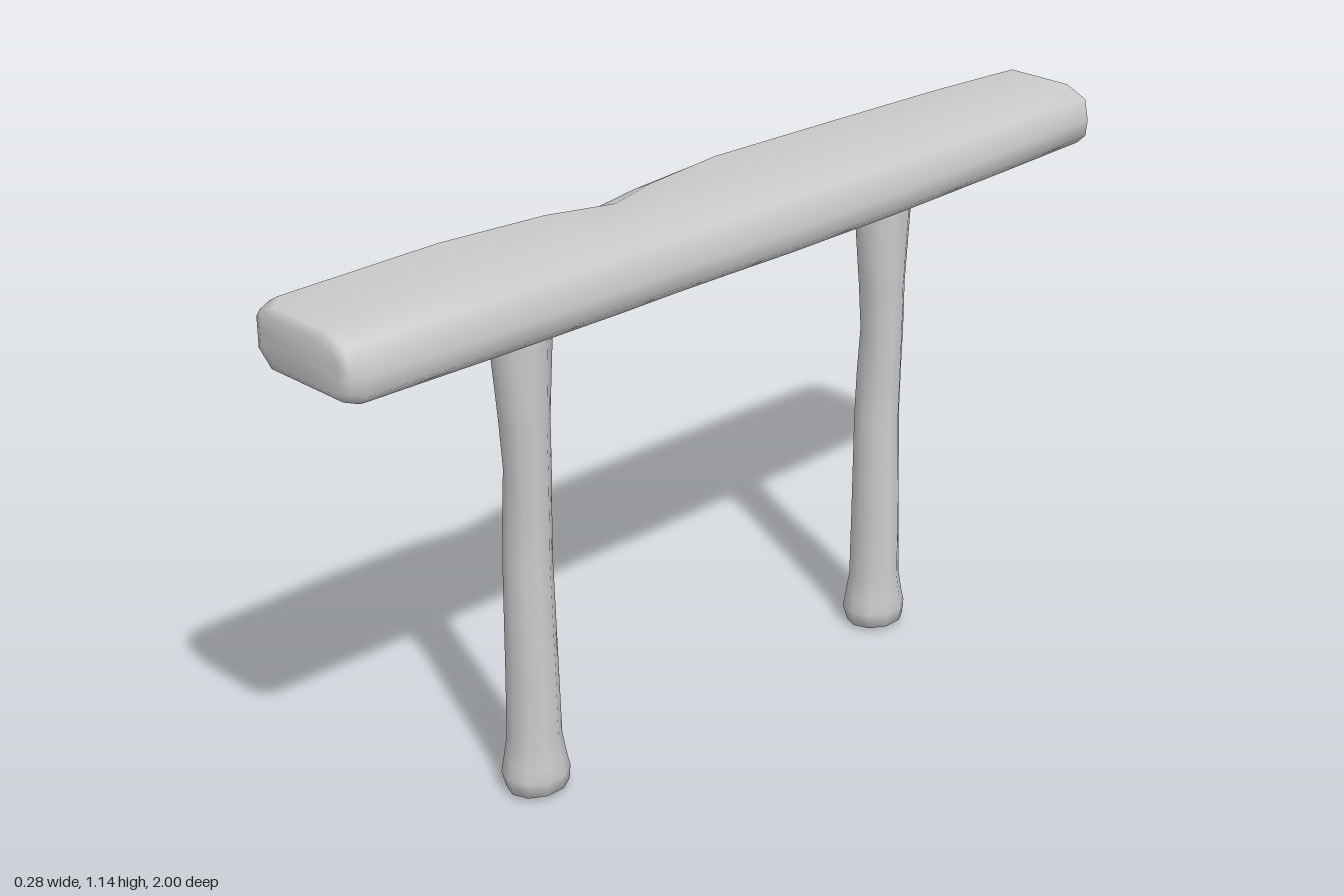
import * as THREE from 'three';

const material = new THREE.MeshStandardMaterial({ color: 0xcccccc });

// Joins equal-sized rings of [x, y, z] into a smooth closed skin with capped ends.
function loft(rings, name) {
  const n = rings[0].length;
  const points = rings.flat();
  const index = [];
  for (let r = 0; r < rings.length - 1; r++) {
    for (let i = 0; i < n; i++) {
      const a = r * n + i, b = r * n + (i + 1) % n;
      index.push(a, b, a + n, b, b + n, a + n);
    }
  }
  const addCap = (start, flip) => {
    const centre = points.length;
    const ring = points.slice(start, start + n);
    points.push([0, 1, 2].map((k) => ring.reduce((s, p) => s + p[k], 0) / n));
    for (let i = 0; i < n; i++) {
      const a = start + i, b = start + (i + 1) % n;
      index.push(centre, ...(flip ? [b, a] : [a, b]));
    }
  };
  addCap(0, true);
  addCap((rings.length - 1) * n, false);
  const geometry = new THREE.BufferGeometry();
  geometry.setAttribute('position', new THREE.Float32BufferAttribute(points.flat(), 3));
  geometry.setIndex(index);
  geometry.computeVertexNormals();
  const mesh = new THREE.Mesh(geometry, material);
  mesh.name = name;
  return mesh;
}

// Beam cross-section: a rectangle with its four corners cut, counter-clockwise from +z.
// The top left cut is given per station, as it is worn unevenly.
function beamRing([z, xl, xr, yb, yt, cutW, cutH]) {
  return [
    [xl + 0.035, yb, z], [xr - 0.025, yb, z],
    [xr - 0.004, yb + 0.02, z], [xr, yb + 0.055, z], [xr - 0.01, yt - 0.022, z],
    [xr - 0.06, yt, z], [xl + cutW, yt, z],
    [xl + cutW * 0.25, yt - cutH * 0.5, z],
    [xl, yt - cutH, z], [xl, yb + 0.03, z],
  ];
}

function createBeam() {
  // z, left, right, bottom, top, width and height of the top left cut
  const stations = [
    [-1.0, -0.115, 0.115, 1.03, 1.13, 0.05, 0.035],
    [-0.985, -0.138, 0.135, 1.018, 1.14, 0.06, 0.05],
    [-0.75, -0.14, 0.137, 1.012, 1.143, 0.05, 0.045],
    [-0.4, -0.14, 0.138, 1.004, 1.144, 0.04, 0.03],
    [-0.1, -0.141, 0.138, 1.002, 1.145, 0.035, 0.03],
    [0.1, -0.141, 0.135, 1.002, 1.143, 0.06, 0.045],
    [0.22, -0.137, 0.136, 1.003, 1.142, 0.09, 0.06],
    [0.36, -0.14, 0.14, 1.004, 1.143, 0.05, 0.035],
    [0.6, -0.141, 0.14, 1.005, 1.145, 0.03, 0.025],
    [0.96, -0.14, 0.138, 1.008, 1.144, 0.035, 0.03],
    [0.99, -0.132, 0.13, 1.018, 1.138, 0.045, 0.03],
    [1.0, -0.11, 0.11, 1.032, 1.122, 0.045, 0.025],
  ];
  return loft(stations.map(beamRing), 'railBeam');
}

function createPost(name, z) {
  // y, centre x, centre z, radius x, radius z
  const levels = [
    [0.0, 0.005, 0.0, 0.03, 0.035],
    [0.009, 0.003, 0.0, 0.056, 0.067],
    [0.04, -0.002, 0.0, 0.065, 0.071],
    [0.07, -0.002, 0.001, 0.061, 0.064],
    [0.12, -0.001, 0.002, 0.055, 0.055],
    [0.25, -0.004, 0.0, 0.055, 0.051],
    [0.5, -0.009, -0.002, 0.051, 0.047],
    [0.6, -0.006, -0.002, 0.05, 0.046],
    [0.7, 0.0, -0.001, 0.046, 0.046],
    [0.8, -0.002, 0.001, 0.049, 0.049],
    [0.96, -0.004, 0.002, 0.058, 0.06],
    [0.985, -0.003, 0.001, 0.055, 0.058],
    [1.003, -0.001, 0.0, 0.045, 0.047],
  ];
  const sides = 10;
  const rings = levels.map(([y, cx, cz, rx, rz]) => Array.from({ length: sides }, (_, i) => {
    const a = (i / sides) * Math.PI * 2;
    return [cx + Math.sin(a) * rx, y, cz + Math.cos(a) * rz];
  }));
  const post = loft(rings, name);
  post.position.z = z;
  return post;
}

export function createModel() {
  const group = new THREE.Group();
  group.name = 'hitchingRail';
  group.add(createBeam(), createPost('frontPost', 0.5), createPost('backPost', -0.492));
  return group;
}
